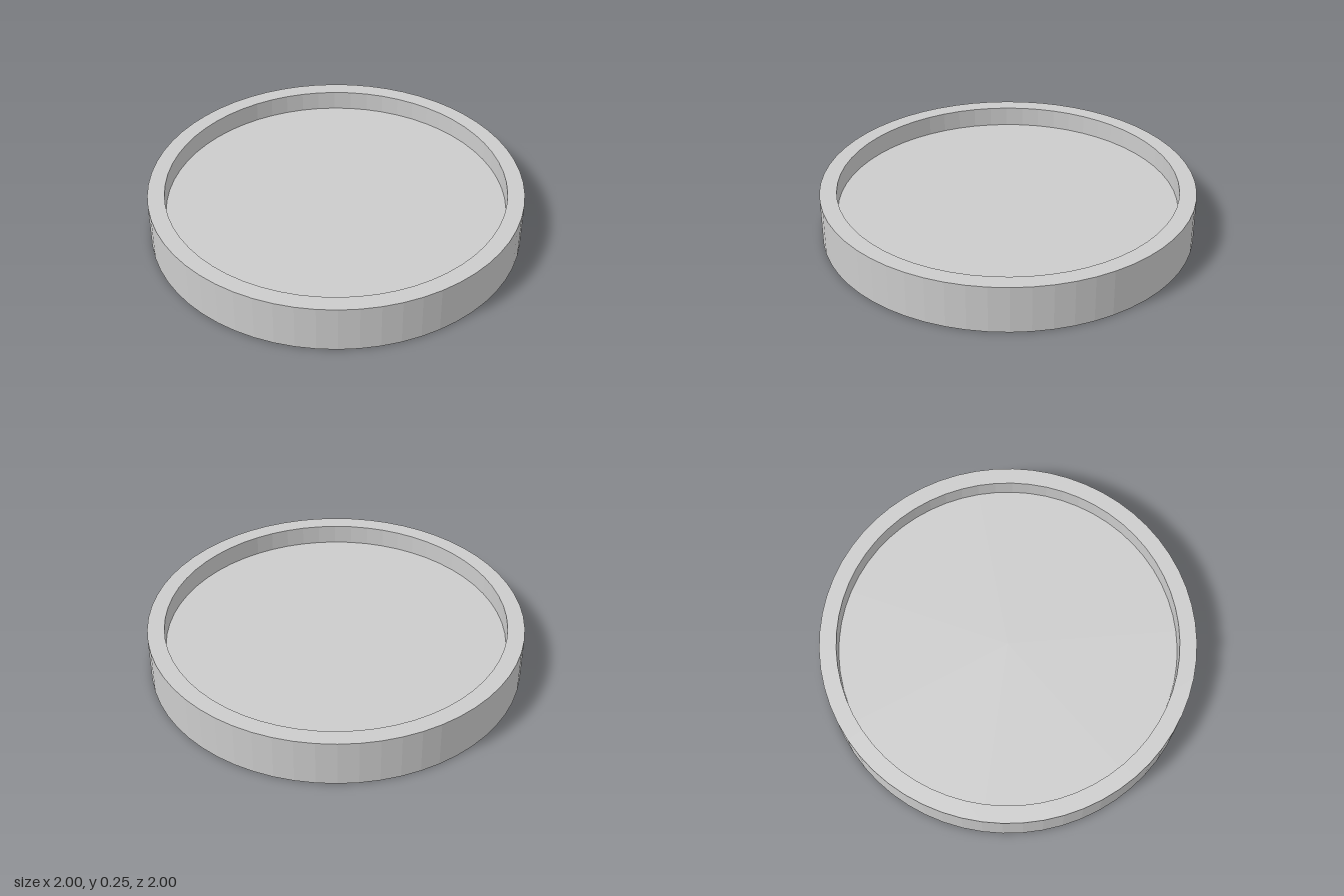
import * as THREE from 'three';

const SIDES = 60;
const HEIGHT = 0.255;
const OUTER = 1;
const INNER = 0.91;
const FLOOR_BOTTOM = 0.015;
const FLOOR_TOP = 0.145;

export function createModel() {
  const group = new THREE.Group();
  group.name = 'roundTray';
  const material = new THREE.MeshStandardMaterial({ color: 0xcccccc, flatShading: true });

  // Upright rim: a rectangular section turned around the axis
  const section = [
    [INNER, 0], [OUTER, 0], [OUTER, HEIGHT], [INNER, HEIGHT], [INNER, 0],
  ].map(([r, y]) => new THREE.Vector2(r, y));
  const rim = new THREE.Mesh(new THREE.LatheGeometry(section, SIDES), material);
  rim.name = 'rim';
  group.add(rim);

  // Floor plate, sunk below the rim and slightly raised off the ground
  const thickness = FLOOR_TOP - FLOOR_BOTTOM;
  const floor = new THREE.Mesh(
    new THREE.CylinderGeometry(INNER, INNER, thickness, SIDES), material);
  floor.name = 'floorPlate';
  floor.position.y = FLOOR_BOTTOM + thickness / 2;
  group.add(floor);

  return group;
}
